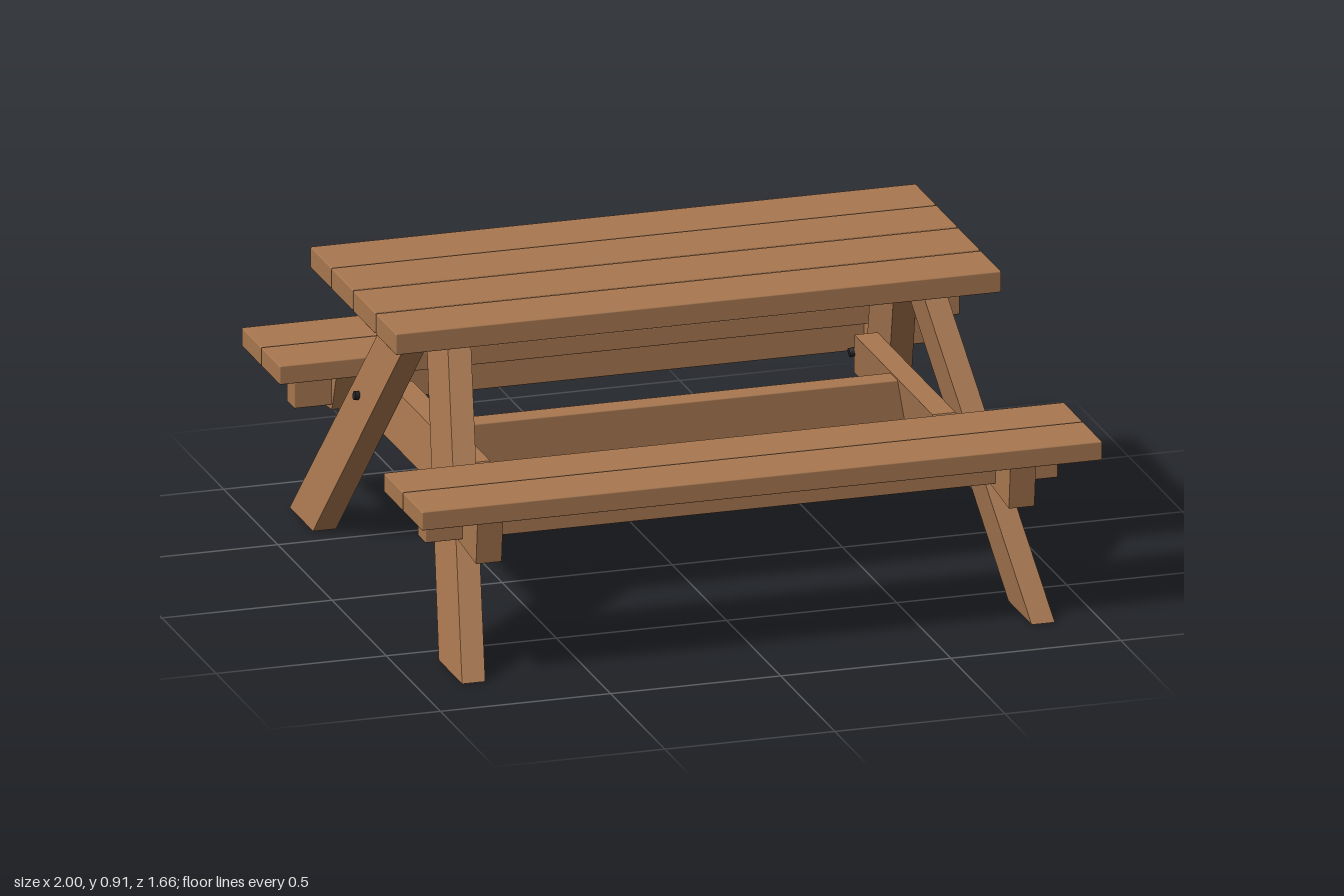
import * as THREE from 'three';
import { RoundedBoxGeometry } from 'three/addons/geometries/RoundedBoxGeometry.js';

export function createModel() {
  const group = new THREE.Group();
  const wood = new THREE.MeshStandardMaterial({ color: 0xa97850 });
  wood.name = 'wood';
  const metal = new THREE.MeshStandardMaterial({ color: 0x222226 });
  metal.name = 'darkMetal';

  const add = (name, geometry, material = wood) => {
    const mesh = new THREE.Mesh(geometry, material);
    mesh.name = name;
    group.add(mesh);
    return mesh;
  };

  // Board between two corners, with slightly eased edges
  const board = (name, x0, x1, y0, y1, z0, z1) => {
    const g = new RoundedBoxGeometry(x1 - x0, y1 - y0, z1 - z0, 1, 0.004);
    g.translate((x0 + x1) / 2, (y0 + y1) / 2, (z0 + z1) / 2);
    return add(name, g);
  };

  // Board cut from a (z, y) outline, centred on x = 0
  const cutBoard = (points, thickness) => {
    const shape = new THREE.Shape(points.map(([z, y]) => new THREE.Vector2(z, y)));
    const g = new THREE.ExtrudeGeometry(shape, { depth: thickness, bevelEnabled: false });
    g.translate(0, 0, -thickness / 2);
    return g.rotateY(-Math.PI / 2);
  };

  // Centre of the leg in x at a given height: the legs lean inwards
  const legX = (y) => 0.837 - 0.172 * y;
  const lean = (g, side, inset = 0) => {
    const p = g.attributes.position;
    for (let i = 0; i < p.count; i++) {
      p.setX(i, p.getX(i) + side * (legX(p.getY(i)) - inset));
    }
    g.computeVertexNormals();
    return g;
  };

  // Table top
  for (const [z0, z1] of [[-0.405, -0.217], [-0.212, -0.02], [-0.01, 0.188], [0.198, 0.385]]) {
    board('tablePlank', -0.935, 0.845, 0.845, 0.908, z0, z1);
  }

  // Bench seats
  for (const [z0, z1] of [[-0.835, -0.66], [-0.655, -0.483], [0.475, 0.645], [0.65, 0.83]]) {
    board('benchPlank', -1, 1, 0.478, 0.534, z0, z1);
  }

  for (const f of [1, -1]) {
    // Long beam under each bench
    const z = f * 0.605;
    board('benchBeam', -0.93, 0.93, 0.372, 0.478, z - 0.036, z + 0.036);

    for (const side of [1, -1]) {
      // Slanted leg
      const leg = [[0, 0.845], [f * 0.2, 0.845], [f * 0.795, 0], [f * 0.58, 0]];
      add('leg', lean(cutBoard(leg, 0.068), side));

      // Tapered block under the bench
      const block = [[f * 0.52, 0.478], [f * 0.78, 0.478], [f * 0.765, 0.34], [f * 0.565, 0.36]];
      add('benchBlock', cutBoard(block, 0.075).translate(side * 0.783, 0, 0));
    }
  }

  for (const side of [1, -1]) {
    // Cross brace on the inside of the legs
    const brace = [[-0.36, 0.495], [0.36, 0.495], [0.44, 0.355], [-0.44, 0.355]];
    add('crossBrace', lean(cutBoard(brace, 0.068), side, 0.068));

    // Bolts through the legs
    for (const [y, z, reach] of [[0.44, 0.405, 0.068], [0.44, -0.405, 0.068], [0.685, -0.23, 0]]) {
      const bolt = new THREE.CylinderGeometry(0.013, 0.013, 0.092 + reach, 12);
      const mesh = add('bolt', bolt, metal);
      mesh.rotation.z = Math.PI / 2 + side * 0.17;
      mesh.position.set(side * (legX(y) - reach / 2), y, z);
    }
  }

  // Stretcher joining the two cross braces
  board('stretcher', -0.68, 0.68, 0.36, 0.49, -0.035, 0.035);

  return group;
}
